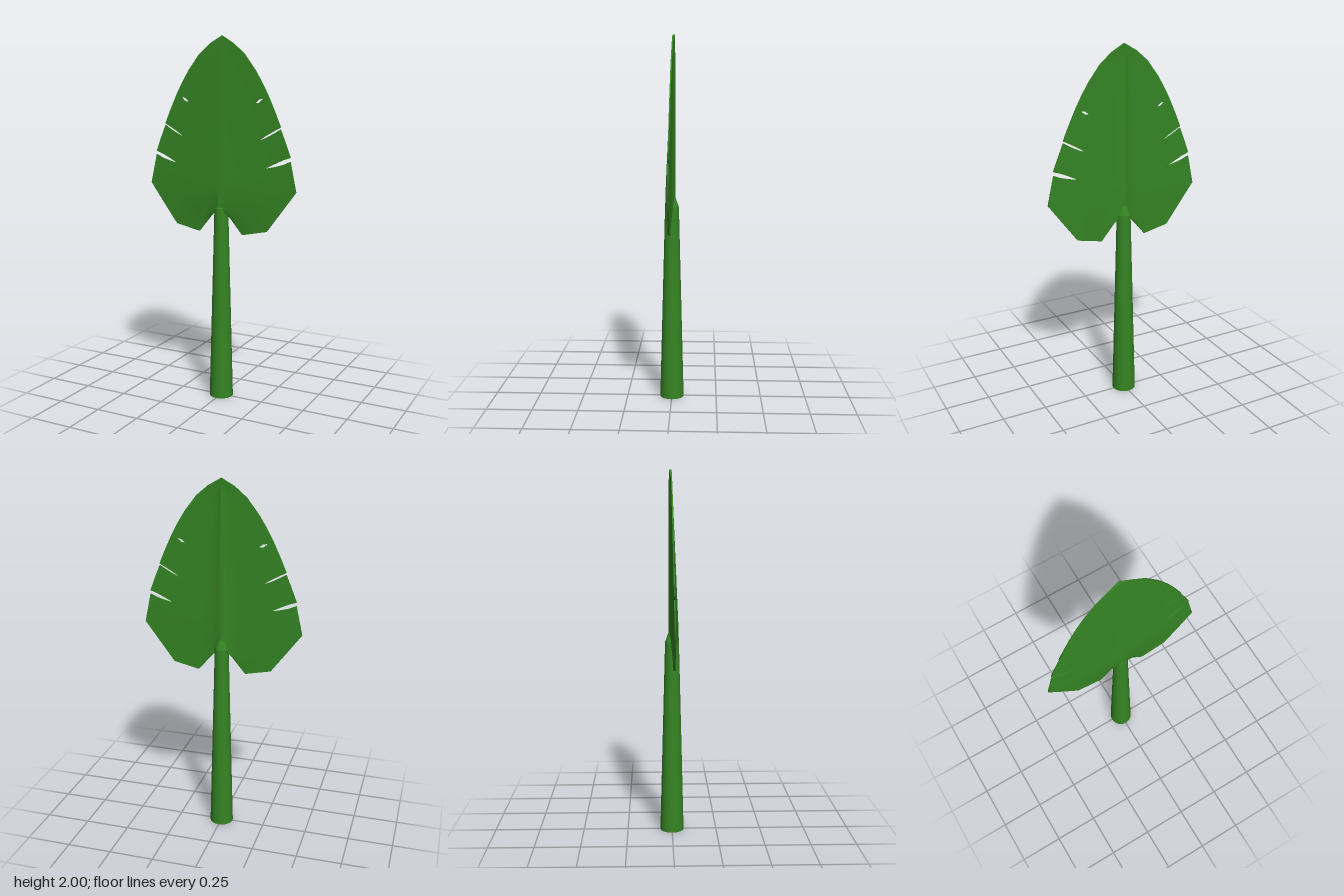
import * as THREE from 'three';
import { mergeVertices, mergeGeometries } from 'three/addons/utils/BufferGeometryUtils.js';

// Samples along each vein, from midrib (0) to leaf margin (1)
const S = [0, 0.06, 0.13, 0.25, 0.45, 0.65, 0.72, 0.8, 0.9, 1];

// Slit widths at the outer samples of a vein
const LOWER_SLIT = [0, 0, 0, 0, 0, 0, 0.009, 0.017, 0.024, 0.02];
const MIDDLE_SLIT = [0, 0, 0, 0, 0, 0, 0.008, 0.012, 0.012, 0.01];
const UPPER_SLIT = [0, 0, 0, 0, 0, 0, 0, 0.018, 0, 0];

// Veins from stem to tip: height on the midrib, margin x, margin y, optional slit
const VEINS = [
  [1.06, 0.037, 1.06],
  [1.16, 0.132, 0.942],
  [1.18, 0.275, 0.973],
  [1.2, 0.36, 1.087],
  [1.22, 0.44, 1.195],
  [1.24, 0.405, 1.365, LOWER_SLIT],
  [1.305, 0.376, 1.45],
  [1.37, 0.347, 1.525, MIDDLE_SLIT],
  [1.47, 0.315, 1.605],
  [1.58, 0.275, 1.69, UPPER_SLIT],
  [1.66, 0.24, 1.755],
  [1.74, 0.2, 1.82],
  [1.85, 0.135, 1.905],
  [1.93, 0.07, 1.96],
  [2, 0, 2],
];

// Front and back surface points on a vein; edge is -1 or +1 for the side of its slit
function veinPoint(vein, j, edge, side) {
  const [hub, ex, ey, slit] = vein;
  const s = S[j];
  const x = ex * s;
  const y = hub + (ey - hub) * Math.pow(s, 1.3) + (slit ? edge * slit[j] / 2 : 0);
  const t = THREE.MathUtils.clamp((y - 1.1) / 0.9, 0, 1);
  const mid = 0.008 - 0.013 * t;
  const ridge = 0.016 * (1 - t * 0.5) * Math.max(0, 1 - x / (0.012 + 0.04 * (1 - t)));
  const front = mid + 0.003 + 0.027 * (1 - t) * Math.pow(1 - s, 1.3);
  const back = mid - 0.004 - 0.008 * (1 - t) * (1 - s) - (t < 1 ? ridge : 0);
  return { f: [side * x, y, front], b: [side * x, y, back] };
}

// Smooth surface from a triangle list
function surface(points) {
  const g = new THREE.BufferGeometry();
  g.setAttribute('position', new THREE.Float32BufferAttribute(points.flat(), 3));
  const merged = mergeVertices(g, 1e-5);
  merged.computeVertexNormals();
  return merged;
}

function leafGeometry() {
  const front = [], back = [], rim = [];
  for (const side of [1, -1]) {
    const quad = (list, a, b, c, d) =>
      side > 0 ? list.push(a, b, c, a, c, d) : list.push(a, c, b, a, d, c);

    for (let i = 0; i < VEINS.length - 1; i++) {
      const low = S.map((_, j) => veinPoint(VEINS[i], j, 1, side));
      const high = S.map((_, j) => veinPoint(VEINS[i + 1], j, -1, side));
      const lowSlit = VEINS[i][3], highSlit = VEINS[i + 1][3];
      for (let j = 0; j < S.length - 1; j++) {
        const a = low[j], b = low[j + 1], c = high[j + 1], d = high[j];
        quad(front, a.f, b.f, c.f, d.f);
        quad(back, d.b, c.b, b.b, a.b);
        // Walls inside the slits
        if (highSlit && highSlit[j] + highSlit[j + 1] > 0) quad(rim, d.f, c.f, c.b, d.b);
        if (lowSlit && lowSlit[j] + lowSlit[j + 1] > 0) quad(rim, a.b, b.b, b.f, a.f);
      }
      // Outer margin
      const e = low[S.length - 1], h = high[S.length - 1];
      quad(rim, e.f, e.b, h.b, h.f);
    }
  }
  return mergeGeometries([surface(front), surface(back), surface(rim)]);
}

export function createModel() {
  const model = new THREE.Group();
  model.name = 'leaf';
  const green = new THREE.MeshStandardMaterial({ color: 0x358524 });
  green.name = 'leaf green';

  // Split blade with a midrib ridge on the back
  const blade = new THREE.Mesh(leafGeometry(), green);
  blade.name = 'blade';
  model.add(blade);

  // Tapered stem, closing into the blade
  const shaft = new THREE.CylinderGeometry(0.038, 0.066, 1.08, 24);
  shaft.translate(0, 0.54, 0);
  const stem = new THREE.Mesh(shaft, green);
  stem.name = 'stem';
  model.add(stem);

  const collar = new THREE.Mesh(new THREE.CylinderGeometry(0.016, 0.038, 0.06, 24), green);
  collar.name = 'stemTop';
  collar.position.y = 1.11;
  model.add(collar);

  return model;
}
